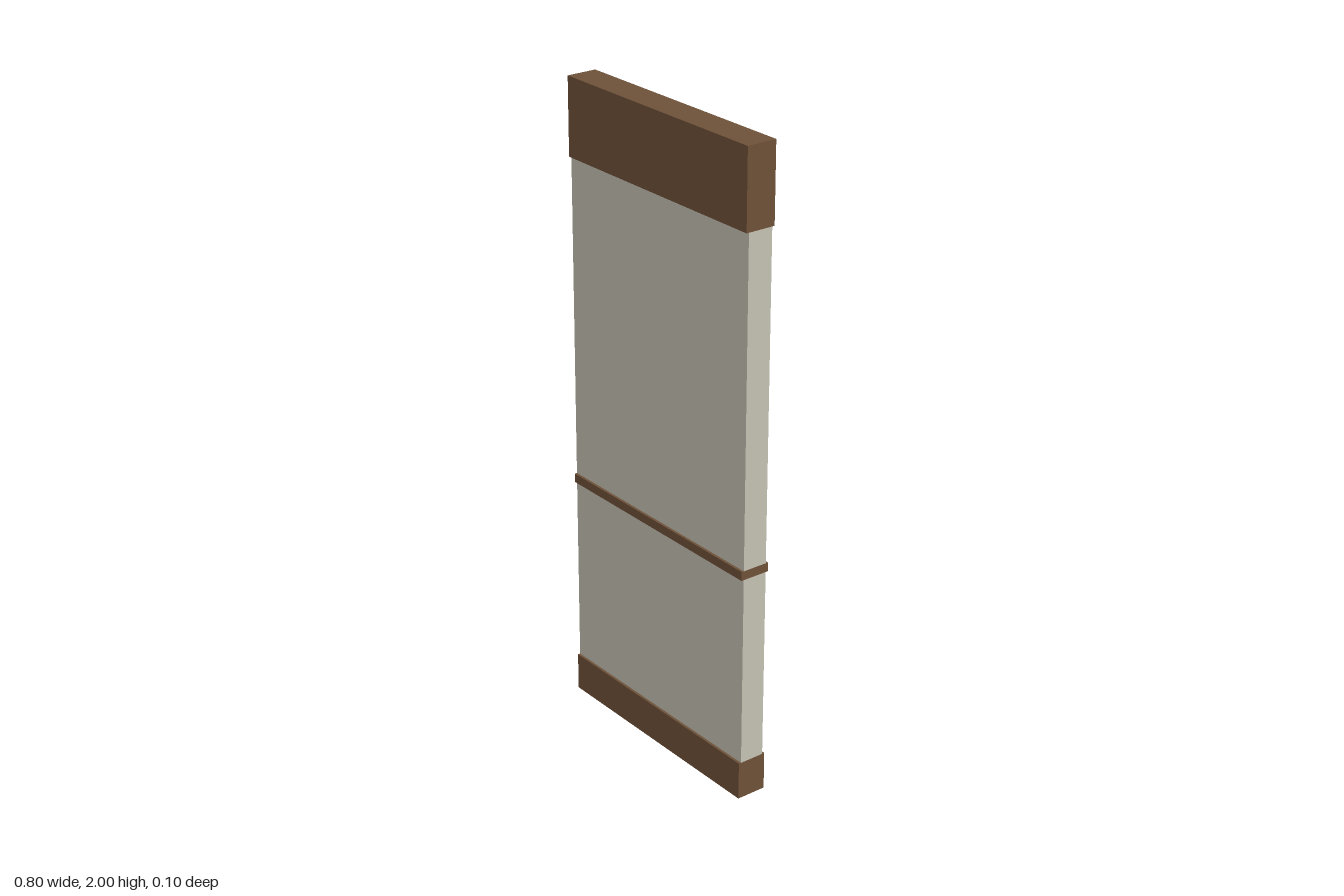
import * as THREE from 'three';

export function createModel() {
  const model = new THREE.Group();
  model.name = 'wallPanel';

  const plaster = new THREE.MeshStandardMaterial({ color: 0xc8c4b6 });
  plaster.name = 'plaster';
  const wood = new THREE.MeshStandardMaterial({ color: 0x70523a });
  wood.name = 'brown wood';

  // Full-width slab between two heights
  function slab(name, bottom, top, depth, material) {
    const mesh = new THREE.Mesh(new THREE.BoxGeometry(0.8, top - bottom, depth), material);
    mesh.name = name;
    mesh.position.y = (bottom + top) / 2;
    model.add(mesh);
  }

  // Plaster infill, slightly thinner than the trim
  slab('lowerPanel', 0.12, 0.724, 0.08, plaster);
  slab('upperPanel', 0.752, 1.76, 0.08, plaster);

  // Wooden trim
  slab('baseboard', 0, 0.12, 0.096, wood);
  slab('chairRail', 0.724, 0.752, 0.096, wood);
  slab('topBeam', 1.76, 2, 0.096, wood);

  return model;
}
